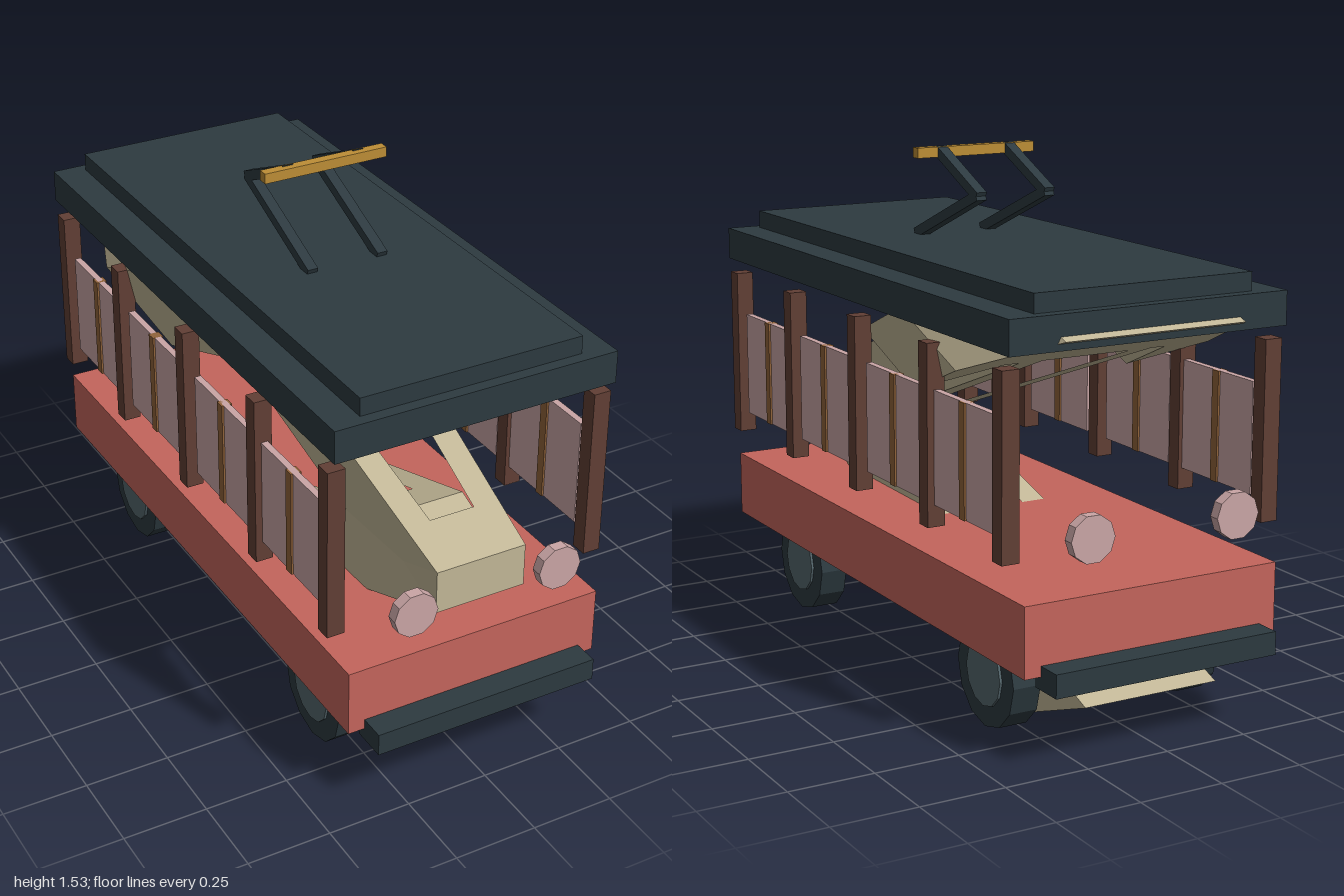
import * as THREE from 'three';

const mat = (name, color) => {
  const m = new THREE.MeshStandardMaterial({ color });
  m.name = name;
  return m;
};

export function createModel() {
  const red = mat('body red', 0xc4655c);
  const dark = mat('dark slate', 0x2d3a40);
  const cream = mat('cream', 0xc2b797);
  const pink = mat('pale pink', 0xcaa6a6);
  const brown = mat('dark brown', 0x613f35);
  const wood = mat('wood', 0x91633a);
  const gold = mat('brass', 0xbd8e36);
  const steel = mat('steel', 0x55676d);

  const root = new THREE.Group();
  root.name = 'tram';
  const add = (name, geo, material, x = 0, y = 0, z = 0) => {
    const m = new THREE.Mesh(geo, material);
    m.name = name;
    m.position.set(x, y, z);
    root.add(m);
    return m;
  };
  const box = (name, material, w, h, d, x, y, z) =>
    add(name, new THREE.BoxGeometry(w, h, d), material, x, y, z);

  // Chassis and roof
  box('chassis', red, 0.8, 0.2, 1.845, 0, 0.35, 0);
  box('roof', dark, 0.865, 0.097, 1.79, 0, 1.153, 0);
  box('roofDeck', dark, 0.68, 0.054, 1.72, 0, 1.228, 0);

  // Bumpers and lamps at both ends
  const lampGeo = new THREE.CylinderGeometry(0.067, 0.067, 0.033, 10).toNonIndexed();
  lampGeo.computeVertexNormals();
  lampGeo.rotateY(Math.PI / 2).rotateX(Math.PI / 2);
  for (const end of [1, -1]) {
    box('bumper', dark, 0.7, 0.067, 0.105, 0, 0.247, end * 0.9475);
    for (const side of [1, -1]) add('lamp', lampGeo, pink, side * 0.228, 0.62, end * 0.962);
  }

  // Wheels with hubs
  const disc = (r, w) => {
    const g = new THREE.CylinderGeometry(r, r, w, 12).toNonIndexed();
    g.computeVertexNormals();
    return g.rotateZ(Math.PI / 2);
  };
  const tyreGeo = disc(0.155, 0.085), hubGeo = disc(0.094, 0.1);
  for (const x of [-0.292, 0.292]) {
    for (const z of [-0.6, 0.6]) {
      add('wheel', tyreGeo, dark, x, 0.157, z);
      add('hub', hubGeo, steel, x, 0.157, z);
    }
  }

  // Side posts, panes and mullions
  for (const side of [1, -1]) {
    for (const z of [-0.845, -0.44, 0, 0.44, 0.845])
      box('post', brown, 0.053, 0.515, 0.05, side * 0.412, 0.808, z);
    for (const z of [-0.63, -0.225, 0.225, 0.63]) {
      box('pane', pink, 0.02, 0.322, 0.34, side * 0.408, 0.774, z);
      box('mullion', wood, 0.032, 0.322, 0.03, side * 0.408, 0.774, z);
    }
  }

  // Inclined frames: outlines in (x, z), sheared into slanted slabs
  const path = (pts) => pts.map(([x, z]) => new THREE.Vector2(x, z));
  const mirrored = (half) => path([...half, ...half.map(([x, z]) => [-x, z]).reverse()]);
  const hole = [[0.07, 0.78], [0.138, -0.25]];
  const slab = (name, half, s) => {
    const shape = new THREE.Shape(mirrored(half));
    shape.holes.push(new THREE.Path(mirrored(hole)));
    const geo = new THREE.ExtrudeGeometry(shape, { depth: 1, bevelEnabled: false });
    // the depth axis runs down and back for the upper slab, down and forward for the lower
    const basis = new THREE.Matrix4().makeBasis(
      new THREE.Vector3(1, 0, 0),
      new THREE.Vector3(0, -0.36 * s, 1),
      new THREE.Vector3(0, -0.12, -0.32 * s),
    );
    basis.setPosition(0, s > 0 ? 0.70 + 0.36 * 0.935 : 0.57 - 0.36 * 0.935 + 0.12, s > 0 ? 0 : -0.32);
    geo.applyMatrix4(basis);
    geo.computeVertexNormals();
    add(name, geo, cream);
  };
  slab('upperFrame', [[0.14, 0.935], [0.212, -0.25], [0.26, -0.25], [0.355, 0.09],
    [0.408, -0.25], [0.28, -0.6]], 1);
  slab('lowerFrame', [[0.14, 0.935], [0.21, -0.25], [0.21, -0.6]], -1);

  // Wedge closing the nose between the frames
  const wedge = new THREE.Shape(path([[-0.935, 0.57], [-0.75, 0.635], [-0.935, 0.70]]));
  const noseGeo = new THREE.ExtrudeGeometry(wedge, { depth: 0.28, bevelEnabled: false });
  noseGeo.translate(0, 0, -0.14).rotateY(Math.PI / 2);
  add('frameNose', noseGeo, cream);

  // Current collector: two folded arms and a contact bar
  const rod = (name, x, y0, z0, y1, z1) => {
    const len = Math.hypot(y1 - y0, z1 - z0);
    const m = box(name, dark, 0.032, 0.03, len, x, (y0 + y1) / 2, (z0 + z1) / 2);
    m.rotation.x = -Math.atan2(y1 - y0, z1 - z0);
  };
  for (const x of [-0.112, 0.112]) {
    rod('collectorLowerArm', x, 1.255, 0.195, 1.41, -0.18);
    rod('collectorUpperArm', x, 1.405, -0.18, 1.515, 0.06);
  }
  box('contactBar', gold, 0.388, 0.03, 0.03, 0, 1.511, 0.06);

  return root;
}
